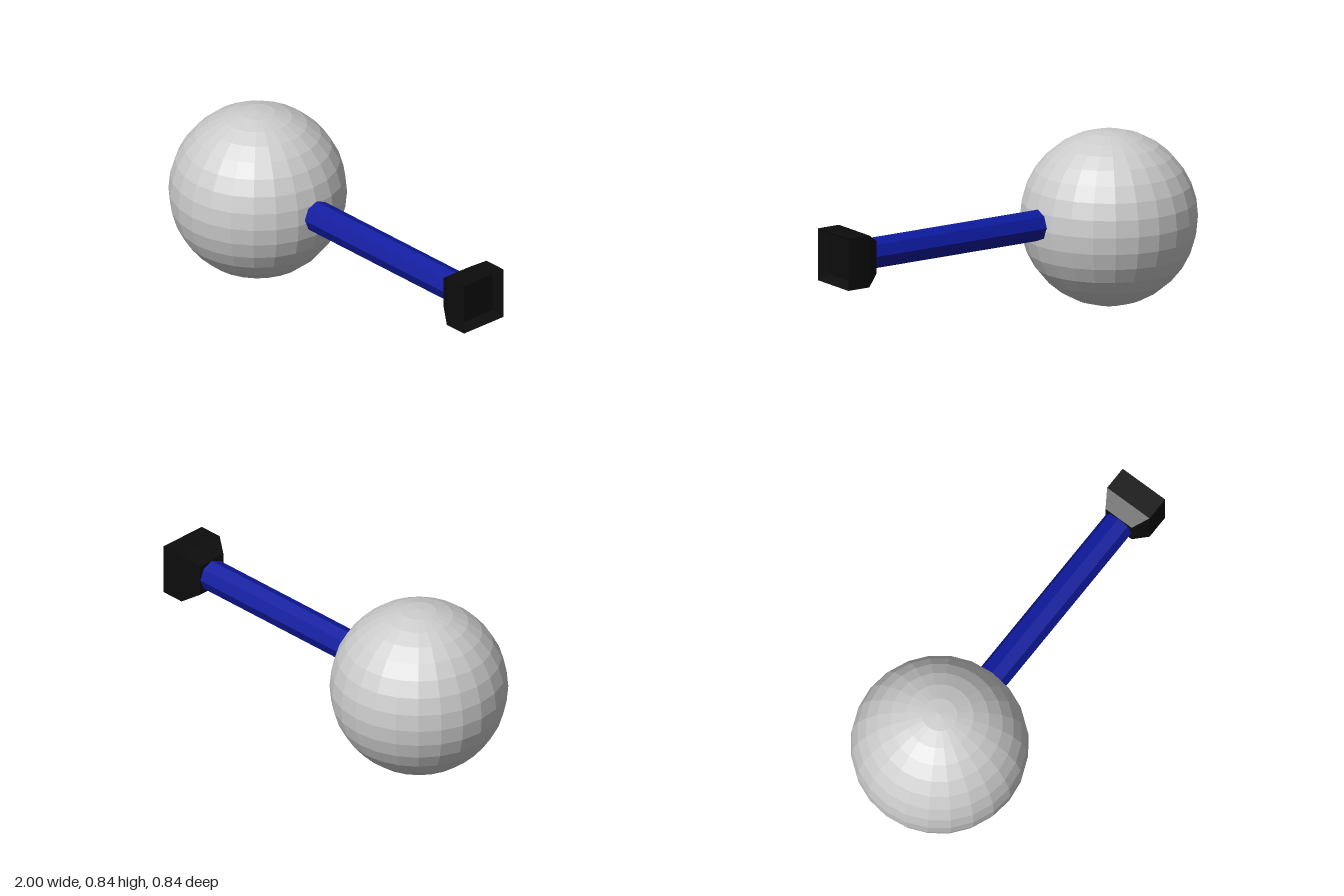
import * as THREE from 'three';

export function createModel() {
  const model = new THREE.Group();
  const material = (color) => new THREE.MeshStandardMaterial({ color, flatShading: true });
  const axisY = 0.44, axisZ = -0.003;

  function add(name, geometry, color, x, y, z) {
    const mesh = new THREE.Mesh(geometry, material(color));
    mesh.name = name;
    mesh.position.set(x, y, z);
    model.add(mesh);
    return mesh;
  }

  // Faceted ball head
  add('ballHead', new THREE.SphereGeometry(0.421, 24, 16), 0xcccccc, -0.579, 0.421, 0);

  // Eight-sided handle, lying along x
  const handle = new THREE.CylinderGeometry(0.076, 0.076, 0.99, 8).rotateZ(-Math.PI / 2);
  add('handle', handle, 0x0e1a9f, 0.325, axisY, axisZ);

  // Square pommel: flare, straight block, then a recessed end face.
  // Each entry is [half width, x]; four-sided lathe turned to lie along x.
  const profile = [[0, 0.805], [0.078, 0.805], [0.126, 0.88], [0.126, 1], [0.1, 0.95], [0, 0.95]]
    .map(([half, x]) => new THREE.Vector2(half * Math.SQRT2, x));
  const pommel = new THREE.LatheGeometry(profile, 4, Math.PI / 4).rotateZ(-Math.PI / 2);
  add('pommel', pommel, 0x0c0c0c, 0, axisY, axisZ);

  return model;
}
